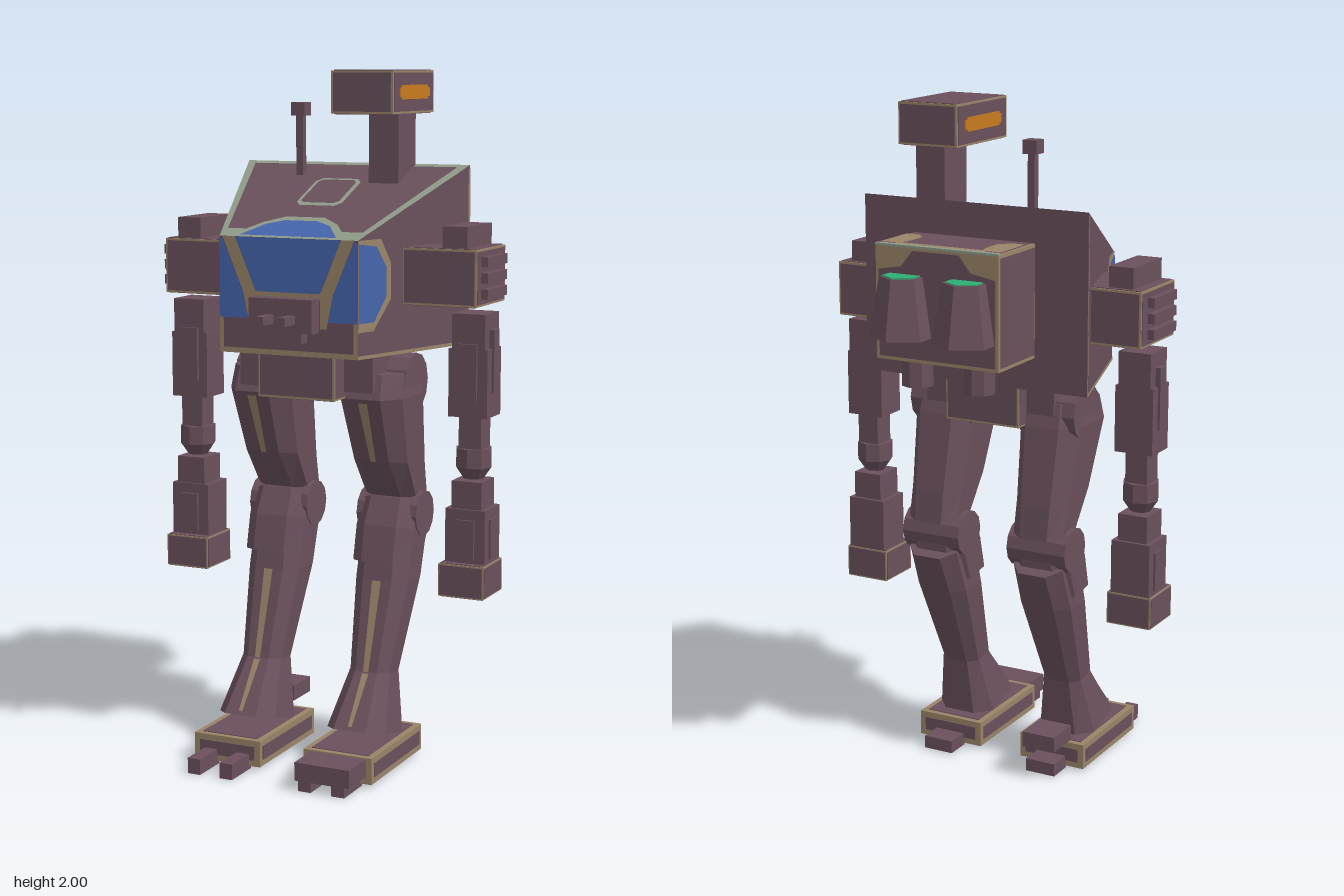
import * as THREE from 'three';

const material = (name, hex, extra = {}) => {
  const m = new THREE.MeshStandardMaterial({ color: hex, flatShading: true, ...extra });
  m.name = name;
  return m;
};

export function createModel() {
  const plum = material('plum armour', 0x6a505c);
  const tan = material('worn tan', 0x9a8468);
  const sage = material('sage edging', 0x8f9a88);
  const blue = material('blue glass', 0x4565ad);
  const green = material('green glow', 0x2fae72);
  const orange = material('orange visor', 0xc87a1e);

  const model = new THREE.Group();
  model.name = 'walkerRobot';

  const add = (name, geo, mat, x = 0, y = 0, z = 0) => {
    const m = new THREE.Mesh(geo, mat);
    m.name = name;
    m.position.set(x, y, z);
    model.add(m);
    return m;
  };
  // Box given by its min and max on each axis
  const box = (name, mat, x0, x1, y0, y1, z0, z1) => add(name,
    new THREE.BoxGeometry(Math.abs(x1 - x0), y1 - y0, z1 - z0), mat,
    (x0 + x1) / 2, (y0 + y1) / 2, (z0 + z1) / 2);
  // Tan box covered with slightly proud plum plates, leaving worn edges
  const trimBox = (name, t, x0, x1, y0, y1, z0, z1) => {
    if (x0 > x1) [x0, x1] = [x1, x0];
    const e = 0.002;
    box(name + 'Edges', tan, x0, x1, y0, y1, z0, z1);
    box(name + 'SidePlates', plum, x0 - e, x1 + e, y0 + t, y1 - t, z0 + t, z1 - t);
    box(name + 'CapPlates', plum, x0 + t, x1 - t, y0 - e, y1 + e, z0 + t, z1 - t);
    box(name + 'FacePlates', plum, x0 + t, x1 - t, y0 + t, y1 - t, z0 - e, z1 + e);
  };
  // Convex flat face turned away from a centre and lifted off the surface
  const face = (name, mat, points, lift = 0, centre = [0, 1.45, 0.05]) => {
    let p = points.map(q => new THREE.Vector3(...q));
    const n = p[1].clone().sub(p[0]).cross(p[2].clone().sub(p[0])).normalize();
    if (n.dot(p[0].clone().sub(new THREE.Vector3(...centre))) < 0) { p.reverse(); n.negate(); }
    p.forEach(v => v.addScaledVector(n, lift));
    const tri = [];
    for (let i = 1; i < p.length - 1; i++) tri.push(p[0], p[i], p[i + 1]);
    const geo = new THREE.BufferGeometry().setFromPoints(tri);
    geo.computeVertexNormals();
    return add(name, geo, mat);
  };
  // Chamfered limb through sections [frontZ, frontY, backZ, backY, halfWidth], top to bottom
  const limb = (name, x, sections) => {
    const ring = [[-.55, 0], [.55, 0], [1, .22], [1, .78], [.55, 1], [-.55, 1], [-1, .78], [-1, .22]];
    const pos = [], idx = [], last = (sections.length - 1) * 8;
    for (const [zf, yf, zb, yb, w] of sections)
      for (const [u, v] of ring) pos.push(u * w, yf + (yb - yf) * v, zf + (zb - zf) * v);
    for (let s = 0; s < last; s += 8)
      for (let i = 0; i < 8; i++) {
        const a = s + i, b = s + (i + 1) % 8;
        idx.push(a, a + 8, b, b, a + 8, b + 8);
      }
    for (let i = 1; i < 7; i++) idx.push(0, i, i + 1, last, last + i + 1, last + i);
    const geo = new THREE.BufferGeometry();
    geo.setAttribute('position', new THREE.Float32BufferAttribute(pos, 3));
    geo.setIndex(idx);
    const flat = geo.toNonIndexed();
    flat.computeVertexNormals();
    return add(name, flat, plum, x);
  };
  const axle = (name, r, len, x, y, z, sides = 12) => {
    const m = add(name, new THREE.CylinderGeometry(r, r, len, sides), plum, x, y, z);
    m.rotation.z = Math.PI / 2;
    return m;
  };

  // Torso: wedge narrowing to the front under a sloping lid
  const lid = (x, z) => [x, 1.73 - (z + 0.15) * 0.413, z];
  const sideX = z => 0.36 - (z + 0.15) * 0.315;
  const front = pts => pts.map(([x, y]) => [x, y, 0.31]);
  const fx = sideX(0.31);
  const mirror = half => [...half, ...half.map(([x, ...r]) => [-x, ...r]).reverse()];
  const lidPoly = half => mirror(half.map(([x, z]) => lid(x, z)));
  face('lidRim', sage, lidPoly([[.36, -.15], [fx, .31]]));
  face('lidPanel', plum, lidPoly([[.328, -.13], [.21, .268]]), 0.002);
  face('hatchRim', sage, lidPoly([[.055, -.04], [.072, -.02], [.072, .105], [.055, .125]]), 0.004);
  face('hatch', plum, lidPoly([[.048, -.028], [.06, -.015], [.06, .1], [.048, .112]]), 0.006);
  face('lidWindowRim', sage, lidPoly([[.06, .195], [.115, .23], [.18, .31]]), 0.004);
  face('lidWindow', blue, lidPoly([[.05, .22], [.1, .245], [.15, .31]]), 0.006);
  face('torsoBack', plum, mirror([[.36, 1.73, -.15], [.36, 1.21, -.15]]));
  face('torsoBottom', plum, mirror([[.36, 1.21, -.15], [fx, 1.21, .31]]));
  face('torsoFront', plum, front(mirror([[fx, 1.54], [fx, 1.21]])));
  face('frontSill', tan, front(mirror([[fx, 1.225], [fx, 1.21]])), 0.002);
  face('windowSill', tan, front(mirror([[.105, 1.395], [.115, 1.37]])), 0.002);
  face('frontWindow', blue, front(mirror([[.165, 1.54], [.1, 1.388]])), 0.003);
  for (const s of [-1, 1]) {
    const side = pts => pts.map(([z, y]) => [s * sideX(z), y, z]);
    const half = pts => front(pts.map(([x, y]) => [s * x, y]));
    face('torsoSide', plum, side([[-.15, 1.73], [.31, 1.54], [.31, 1.21], [-.15, 1.21]]));
    face('sideWindowRim', tan, side([[.31, 1.54], [.22, 1.54], [.18, 1.47], [.18, 1.37], [.25, 1.285], [.31, 1.285]]), 0.002);
    face('sideWindow', blue, side([[.31, 1.53], [.24, 1.52], [.2, 1.46], [.2, 1.38], [.25, 1.31], [.31, 1.31]]), 0.004);
    face('sideSill', tan, side([[.31, 1.22], [-.15, 1.22], [-.15, 1.21], [.31, 1.21]]), 0.002);
    face('rearSideEdge', tan, side([[-.15, 1.72], [-.142, 1.72], [-.142, 1.21], [-.15, 1.21]]), 0.002);
    face('pillar', tan, half([[.165, 1.54], [.205, 1.54], [.14, 1.385], [.1, 1.385]]), 0.002);
    face('lowerPillar', tan, half([[.1, 1.385], [.14, 1.385], [.12, 1.29], [.1, 1.29]]), 0.002);
    face('cornerWindow', blue, half([[.205, 1.535], [fx, 1.535], [fx, 1.31], [.125, 1.31], [.14, 1.385]]), 0.003);
    face('cornerEdge', tan, half([[fx, 1.31], [fx, 1.22], [fx - .012, 1.22], [fx - .012, 1.31]]), 0.002);
  }

  // Chin gun
  box('gunHousing', plum, -.1, .097, 1.28, 1.375, .3, .357);
  box('gunMount', plum, -.06, .06, 1.25, 1.28, .3, .35);
  for (const x of [-.033, .033]) box('gunBarrel', plum, x - .012, x + .012, 1.305, 1.33, .34, .42);

  // Head on its offset neck
  box('neck', plum, .097, .19, 1.62, 1.89, -.145, -.02);
  trimBox('head', .006, .05, .24, 1.88, 2, -.157, .133);
  for (const x of [.0475, .2425])
    for (const [h, d] of [[.04, .185], [.026, .21]])
      box('visor', orange, x - .003, x + .003, 1.94 - h / 2, 1.94 + h / 2, -.012 - d / 2, -.012 + d / 2);

  // Antenna
  box('antennaRod', plum, -.156, -.134, 1.67, 1.88, -.081, -.059);
  box('antennaTip', plum, -.167, -.123, 1.868, 1.907, -.092, -.048);

  // Backpack with worn patches, nozzles and vents
  trimBox('backpack', .01, -.195, .195, 1.305, 1.63, -.36, -.145);
  box('backpackRearEdge', sage, -.195, .195, 1.627, 1.634, -.362, -.345);
  box('backpackTopWear', tan, -.14, .14, 1.628, 1.634, -.345, -.325);
  for (const s of [-1, 1]) {
    face('backpackSideWear', tan, [[s * .19, 1.633, -.34], [s * .13, 1.633, -.34], [s * .12, 1.633, -.29],
      [s * .12, 1.633, -.23], [s * .15, 1.633, -.2], [s * .19, 1.633, -.2]], 0.002, [0, 1.4, -.25]);
    face('backpackRearWear', tan, [[s * .19, 1.625, -.363], [s * .07, 1.625, -.363],
      [s * .11, 1.575, -.363], [s * .19, 1.56, -.363]], 0.002, [0, 1.4, -.2]);
    add('nozzle', new THREE.CylinderGeometry(.066, .096, .17, 6), plum, s * .1, 1.465, -.372);
    add('nozzleGlow', new THREE.CylinderGeometry(.056, .056, .004, 6), green, s * .1, 1.551, -.374);
    add('vent', new THREE.CylinderGeometry(.046, .046, .09, 8), plum, s * .1, 1.27, -.297);
  }

  // Pelvis
  trimBox('pelvis', .006, -.12, .12, 1.08, 1.215, -.105, .26);
  box('hipBeam', plum, -.21, .21, 1.1, 1.215, -.06, .2);

  for (const s of [-1, 1]) {
    const bx = (name, mat, a, b, ...r) => box(name, mat, s * a, s * b, ...r);
    // Shoulder
    trimBox('shoulder', .006, s * .27, s * .494, 1.35, 1.51, -.09, .13);
    bx('shoulderCap', plum, .385, .46, 1.5, 1.572, -.07, .115);
    for (const y of [1.385, 1.43, 1.475]) bx('shoulderLouvre', plum, .48, .516, y - .014, y + .014, -.05, .1);
    // Arm
    bx('upperArm', plum, .4, .5, 1.2, 1.325, -.032, .075);
    bx('upperArmSleeve', plum, .39, .508, 1.03, 1.225, -.03, .075);
    bx('upperArmPanel', plum, .418, .478, 1.08, 1.24, .07, .084);
    bx('upperArmSlot', plum, .49, .515, 1.1, 1.28, .002, .042);
    bx('elbowRod', plum, .417, .485, .93, 1.04, -.012, .06);
    add('elbow', new THREE.CylinderGeometry(.054, .054, .055, 8), plum, s * .45, .91, .025);
    add('elbowTip', new THREE.CylinderGeometry(.054, .03, .035, 8), plum, s * .45, .866, .025);
    bx('forearmTop', plum, .403, .494, .755, .845, -.025, .075);
    bx('forearm', plum, .387, .508, .6, .765, -.035, .082);
    bx('forearmPanel', plum, .42, .477, .62, .735, .08, .09);
    bx('forearmSidePanel', plum, .505, .514, .62, .735, -.005, .05);
    trimBox('hand', .004, s * .377, s * .515, .512, .607, -.038, .107);

    // Leg
    const cx = s * .177;
    axle('hipJoint', .085, .19, cx, 1.115, .03);
    limb('thigh', cx, [[.17, 1.15, -.05, 1.15, .09], [.195, 1.08, -.07, 1.08, .098],
      [.115, .89, -.11, .85, .085], [.02, .77, -.122, .755, .08]]);
    axle('kneeJoint', .068, .19, cx, .715, -.04);
    limb('kneeGuard', cx, [[.03, .77, -.1, .71, .085], [.07, .69, -.1, .65, .092], [.095, .585, -.06, .56, .09]]);
    limb('shin', cx, [[.045, .72, -.13, .65, .08], [.09, .53, -.075, .53, .083], [.165, .275, .048, .26, .062]]);
    limb('ankle', cx, [[.165, .275, .048, .26, .063], [.282, .13, .062, .08, .092]]);
    const strip = (name, w, y0, z0, y1, z1) => face(name, tan,
      [[cx - w, y0, z0], [cx + w, y0, z0], [cx + w * .6, y1, z1], [cx - w * .6, y1, z1]], .003, [cx, .6, -.5]);
    strip('thighWear', .014, 1.07, .192, .89, .117);
    strip('shinWear', .014, .53, .091, .275, .166);
    strip('ankleWear', .01, .27, .169, .14, .275);

    // Foot
    trimBox('foot', .018, cx - .107, cx + .107, .01, .087, .005, .362);
    bx('heel', plum, .13, .225, .003, .042, -.07, .01);
    for (const d of [-.052, .052]) box('toe', plum, cx + d - .02, cx + d + .02, 0, .046, .35, .468);
  }
  // Mismatched feet: toe cap on the left, loose spur behind the right
  box('toeCap', plum, .095, .265, .03, .083, .35, .47);
  box('heelSpur', plum, -.245, -.14, .1, .147, -.112, 0);

  return model;
}
